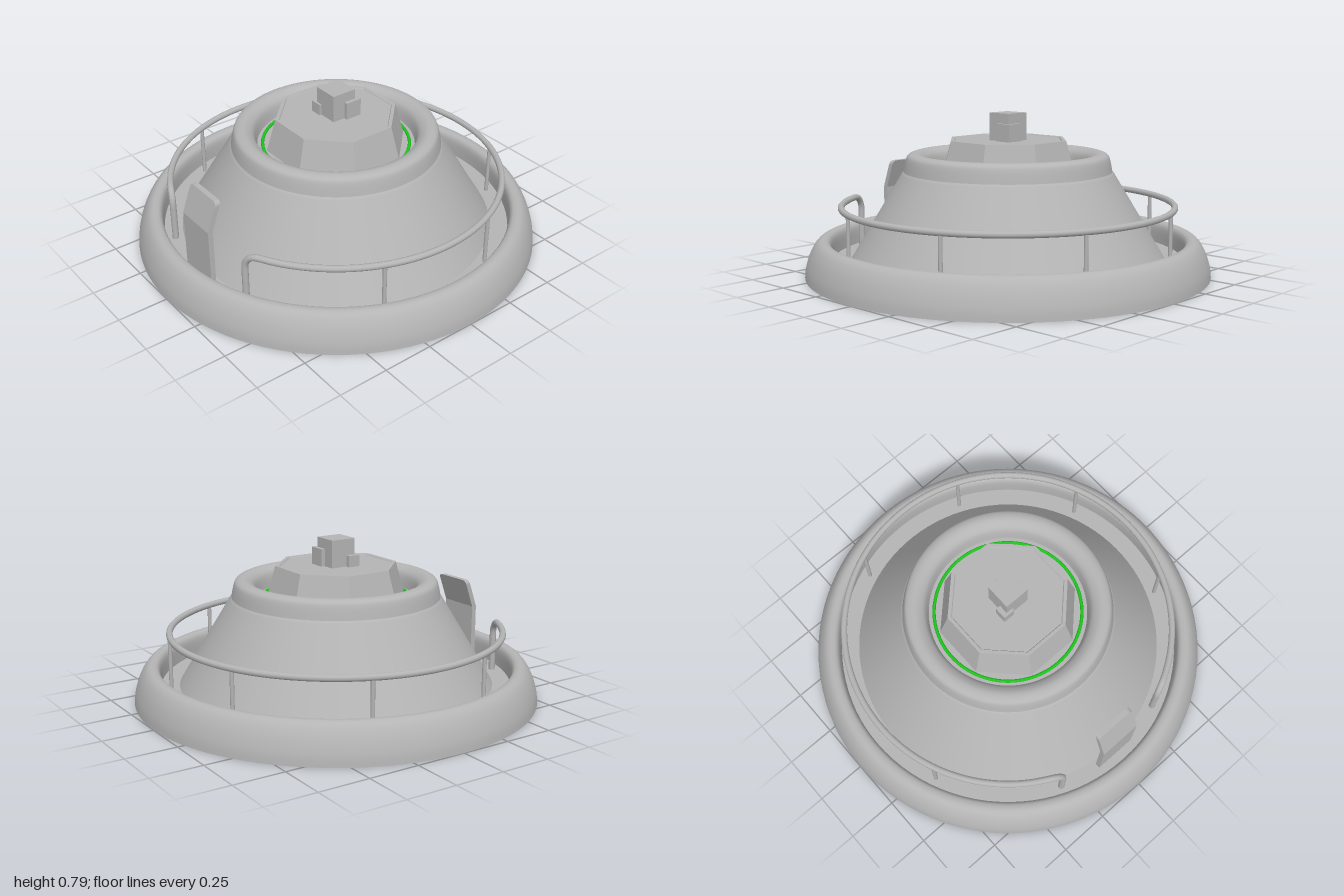
import * as THREE from 'three';

export function createModel() {
  const model = new THREE.Group();
  const grey = new THREE.MeshStandardMaterial({ color: 0xb4b4b4, side: THREE.DoubleSide });
  const facetGrey = grey.clone();
  facetGrey.flatShading = true;
  const green = new THREE.MeshStandardMaterial({ color: 0x1cc81c });
  grey.name = 'grey';
  facetGrey.name = 'facetedGrey';
  green.name = 'glowGreen';

  const add = (name, geometry, material = grey, parent = model) => {
    const mesh = new THREE.Mesh(geometry, material);
    mesh.name = name;
    parent.add(mesh);
    return mesh;
  };
  const vectors = (pts) => pts.map(([r, y]) => new THREE.Vector2(r, y));
  const lathe = (name, pts) => add(name, new THREE.LatheGeometry(vectors(pts), 96));
  const smooth = (pts, n = 24) => new THREE.SplineCurve(vectors(pts)).getPoints(n).map((p) => [p.x, p.y]);

  // Hollow turned shell, from the outer rim inwards
  lathe('outerRim', smooth([[1, 0], [0.994, 0.05], [0.975, 0.11], [0.95, 0.155], [0.925, 0.177],
    [0.9, 0.18], [0.88, 0.17], [0.87, 0.14], [0.868, 0.07]], 32));
  lathe('walkwayFloor', [[0.868, 0.07], [0.778, 0.07]]);
  lathe('coneWall', [[0.778, 0.07], [0.522, 0.495]]);
  lathe('collarLedge', [[0.522, 0.495], [0.514, 0.505]]);
  lathe('collar', smooth([[0.514, 0.505], [0.503, 0.56], [0.49, 0.585], [0.46, 0.595],
    [0.43, 0.588], [0.4, 0.56], [0.386, 0.497]]));
  lathe('wellFloor', [[0.386, 0.497], [0.001, 0.497]]);

  // Glowing ring around the hatch
  const ring = add('glowRing', new THREE.TorusGeometry(0.36, 0.008, 8, 96), green);
  ring.rotation.x = Math.PI / 2;
  ring.position.y = 0.5;

  // Eight-sided hatch with a slightly sunken lid
  const k = 1 / Math.cos(Math.PI / 8);
  const hatch = add('octagonHatch', new THREE.LatheGeometry(vectors([
    [0.322 * k, 0.49], [0.278 * k, 0.66], [0.262 * k, 0.66], [0.258 * k, 0.654], [0, 0.654],
  ]), 8), facetGrey);
  hatch.rotation.y = Math.PI / 8;

  // Stacked blocks on the hatch
  const blocks = new THREE.Group();
  blocks.name = 'topBlocks';
  model.add(blocks);
  const block = (name, w, y0, y1, x, z) => add(name, new THREE.BoxGeometry(w, y1 - y0, w), grey, blocks)
    .position.set(x, (y0 + y1) / 2, z);
  block('mainBlock', 0.13, 0.654, 0.79, 0, 0);
  block('tallSideBlock', 0.085, 0.654, 0.74, 0.041, -0.043);
  block('lowSideBlock', 0.06, 0.654, 0.71, -0.059, 0.047);

  // Handrail round the back, its ends bending down to the floor
  const R = 0.82, top = 0.335, bend = 0.07, start = Math.PI / 8;
  const onRing = (a, y) => new THREE.Vector3(R * Math.sin(a), y, R * Math.cos(a));
  const half = [onRing(start, 0.045), onRing(start, 0.15), onRing(start, 0.23)];
  for (let i = 0; i <= 6; i++) {
    const t = (i / 6) * Math.PI / 2;
    half.push(onRing(start + bend * (1 - Math.cos(t)) / R, top - bend * (1 - Math.sin(t))));
  }
  for (let a = start + 0.2; a < Math.PI - 0.05; a += 0.12) half.push(onRing(a, top));
  const mirrored = half.map((p) => new THREE.Vector3(-p.x, p.y, p.z)).reverse();
  const railPath = new THREE.CatmullRomCurve3([...half, onRing(Math.PI, top), ...mirrored]);
  add('handrail', new THREE.TubeGeometry(railPath, 320, 0.016, 10));

  // Rail posts
  for (let i = 1; i <= 3; i++) {
    for (const side of [-1, 1]) {
      const post = add('railPost', new THREE.CylinderGeometry(0.01, 0.01, top - 0.045, 10));
      post.position.copy(onRing(side * (start + i * Math.PI / 4), (top + 0.045) / 2));
    }
  }

  // Front panel: upright lower part and a rounded top leaning inwards
  const panel = new THREE.Group();
  panel.name = 'frontPanel';
  model.add(panel);
  const w = 0.108, h = 0.145, c = 0.025, bendY = 0.355, depth = 0.026;
  add('panelLower', new THREE.BoxGeometry(2 * w, bendY - 0.045, depth), grey, panel)
    .position.set(0, (bendY + 0.045) / 2, 0.803);
  const shape = new THREE.Shape();
  shape.moveTo(-w, 0);
  shape.lineTo(w, 0);
  shape.lineTo(w, h - c);
  shape.quadraticCurveTo(w, h, w - c, h);
  shape.lineTo(-w + c, h);
  shape.quadraticCurveTo(-w, h, -w, h - c);
  const upper = new THREE.ExtrudeGeometry(shape, { depth, bevelEnabled: false, curveSegments: 6 });
  const pos = upper.attributes.position;
  for (let i = 0; i < pos.count; i++) pos.setZ(i, pos.getZ(i) - pos.getY(i) * 0.36);
  upper.computeVertexNormals();
  add('panelUpper', upper, grey, panel).position.set(0, bendY, 0.79);

  return model;
}
